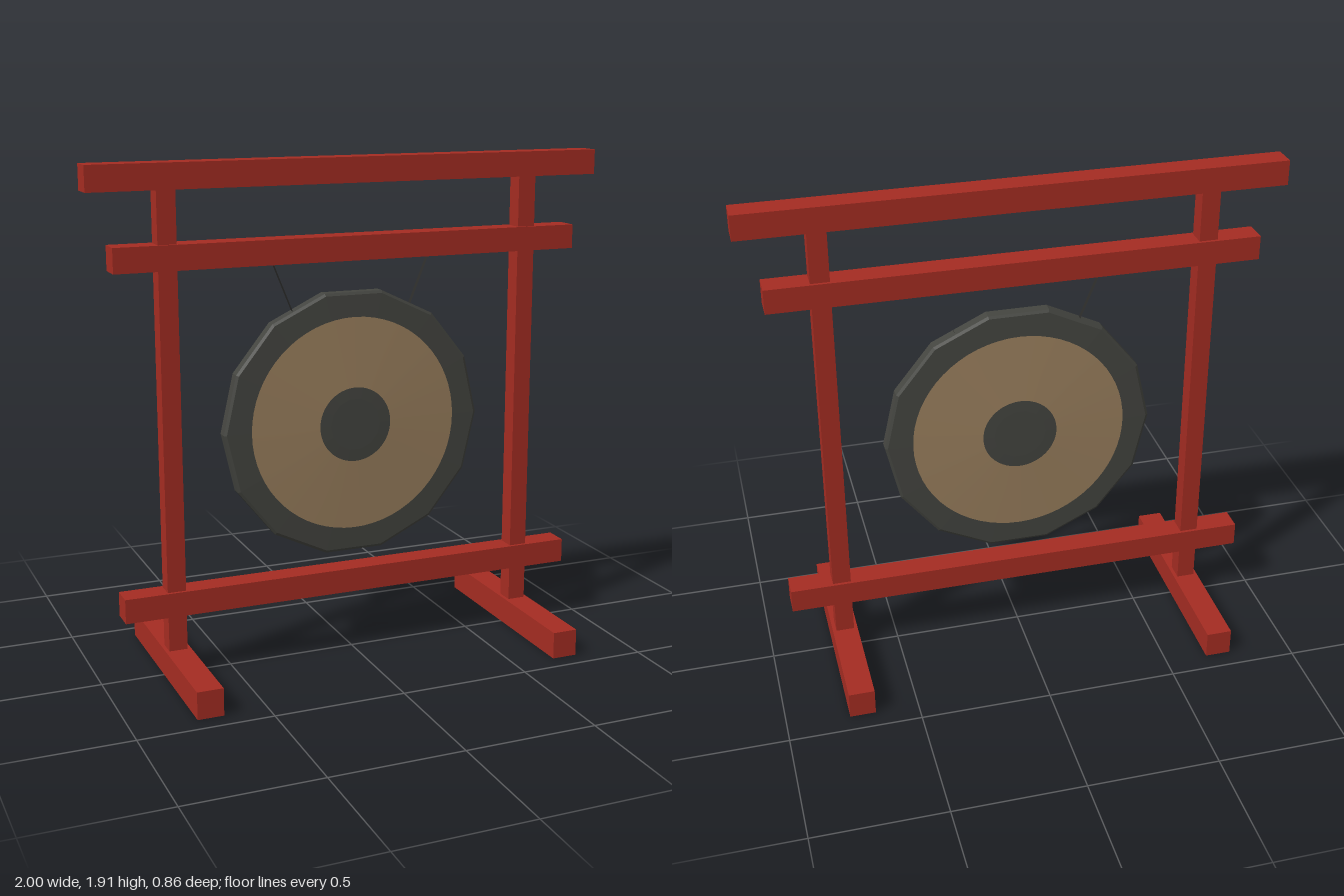
import * as THREE from 'three';

export function createModel() {
  const model = new THREE.Group();
  const mat = (name, color) => {
    const m = new THREE.MeshStandardMaterial({ color });
    m.name = name;
    return m;
  };
  const red = mat('redLacquer', 0xa52c22);
  const dark = mat('darkMetal', 0x444540);
  const bronze = mat('bronze', 0x9b805e);
  const cord = mat('cord', 0x2c2c2a);
  cord.side = THREE.DoubleSide;

  const add = (name, geometry, material, x = 0, y = 0, z = 0) => {
    const mesh = new THREE.Mesh(geometry, material);
    mesh.name = name;
    mesh.position.set(x, y, z);
    model.add(mesh);
    return mesh;
  };
  // Box spanning y0..y1, centred on z = 0
  const bar = (name, w, y0, y1, d, x = 0) =>
    add(name, new THREE.BoxGeometry(w, y1 - y0, d), red, x, (y0 + y1) / 2);

  // Frame: three cross beams, two posts, two feet
  bar('topBeam', 2, 1.812, 1.906, 0.094);
  bar('hangingBeam', 1.824, 1.528, 1.62, 0.094);
  bar('lowerBeam', 1.824, 0.241, 0.334, 0.094);
  for (const [side, s] of [['left', 1], ['right', -1]]) {
    bar(side + 'Post', 0.07, 0.1, 1.815, 0.07, s * 0.713);
    bar(side + 'Foot', 0.098, 0, 0.104, 0.856, s * 0.713);
  }

  // Gong: fourteen-sided, slightly raised towards the middle on both faces
  const gongY = 0.905;
  const face = [[0.515, 0.02], [0.505, 0.026], [0.1, 0.041], [0, 0.041]];
  const profile = [
    ...face.map(([r, h]) => new THREE.Vector2(r, -h)).reverse(),
    ...face.map(([r, h]) => new THREE.Vector2(r, h)),
  ];
  const body = new THREE.LatheGeometry(profile, 14, Math.PI / 2).toNonIndexed();
  body.computeVertexNormals();
  body.rotateX(Math.PI / 2);
  add('gongBody', body, dark, 0, gongY);

  // Bronze ring painted on each face, leaving a dark rim and boss
  const heightAt = (r) => 0.026 + (0.015 * (0.505 - r)) / 0.405 + 0.0015;
  const ringProfile = [0.41, 0.143].map((r) => new THREE.Vector2(r, heightAt(r)));
  for (const [side, s] of [['front', 1], ['back', -1]]) {
    const ring = new THREE.LatheGeometry(ringProfile, 64);
    ring.rotateX((s * Math.PI) / 2);
    add(side + 'BronzeRing', ring, bronze, 0, gongY);
  }

  // Flat cords slanting from the hanging beam to the gong rim
  for (const [side, s] of [['left', 1], ['right', -1]]) {
    const from = new THREE.Vector2(s * 0.315, 1.54);
    const to = new THREE.Vector2(s * 0.232, 1.335);
    const mid = from.clone().add(to).multiplyScalar(0.5);
    const strip = new THREE.PlaneGeometry(0.02, from.distanceTo(to));
    strip.rotateY(Math.PI / 2);
    strip.rotateZ(-Math.atan2(from.x - to.x, from.y - to.y));
    add(side + 'Cord', strip, cord, mid.x, mid.y);
  }
  return model;
}
